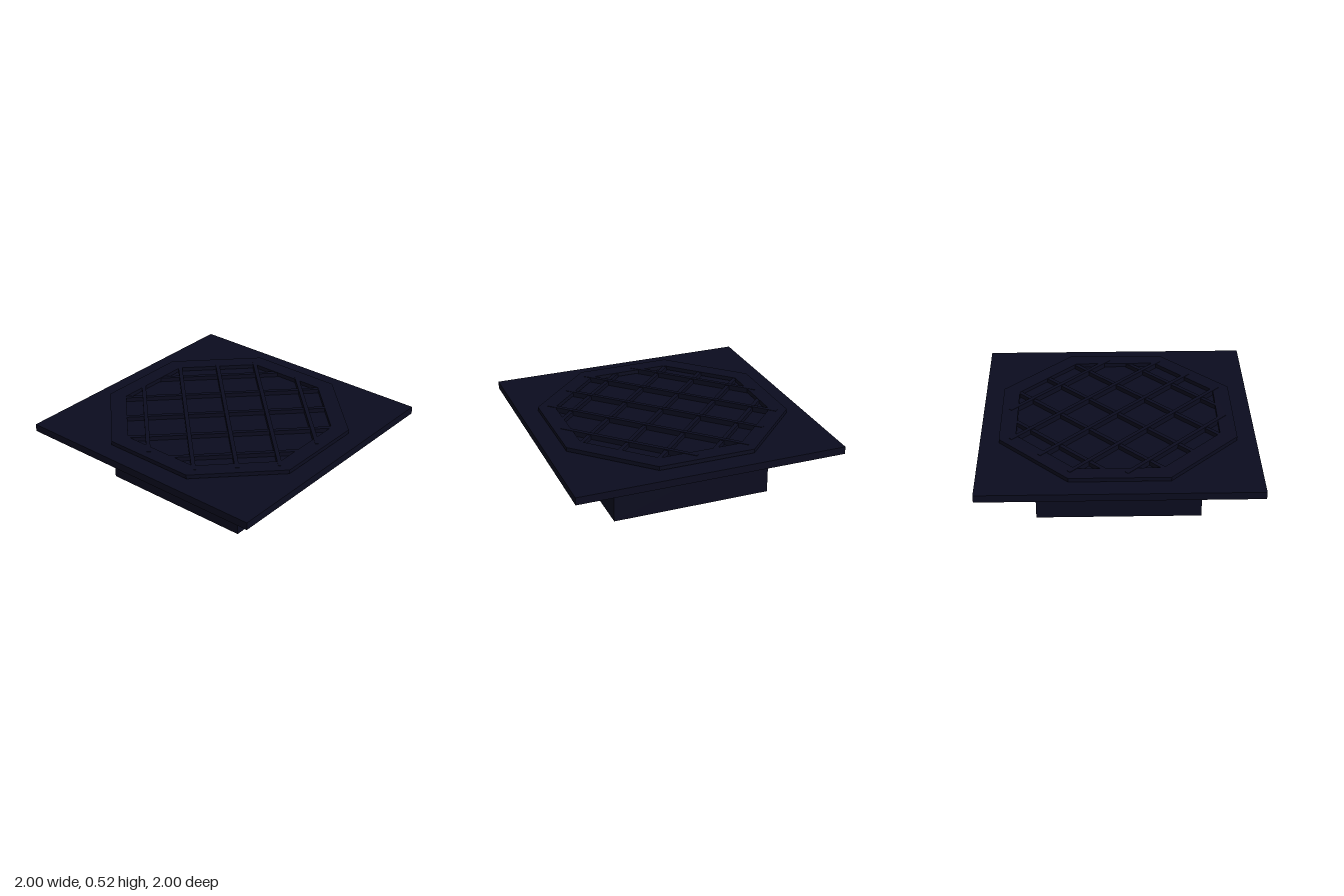
import * as THREE from 'three';

const navy = new THREE.MeshStandardMaterial({ color: 0x0b0c1f });
navy.name = 'midnight navy';

// Regular octagon with flat sides facing x and z, given its apothem
function octagon(apothem, PathType) {
  const path = new PathType();
  const r = apothem / Math.cos(Math.PI / 8);
  for (let i = 0; i < 8; i++) {
    const a = Math.PI / 8 + i * Math.PI / 4;
    if (i === 0) path.moveTo(r * Math.cos(a), r * Math.sin(a));
    else path.lineTo(r * Math.cos(a), r * Math.sin(a));
  }
  path.closePath();
  return path;
}

// Half length of a diagonal bar at a given offset, ending on the octagon
function halfLength(offset, apothem) {
  const side = apothem * Math.tan(Math.PI / 8);
  const d = Math.abs(offset);
  return d <= side ? apothem : apothem - (d - side);
}

function box(name, w, h, d, y) {
  const mesh = new THREE.Mesh(new THREE.BoxGeometry(w, h, d), navy);
  mesh.name = name;
  mesh.position.y = y;
  return mesh;
}

export function createModel() {
  const model = new THREE.Group();
  model.name = 'grated platform';

  // Square base and the wide slab hovering just above it
  model.add(box('baseBlock', 1.2, 0.405, 1.2, 0.2025));
  model.add(box('topSlab', 2, 0.056, 2, 0.458));

  // Flat octagonal frame
  const shape = octagon(0.86, THREE.Shape);
  shape.holes.push(octagon(0.74, THREE.Path));
  const ringGeometry = new THREE.ExtrudeGeometry(shape, { depth: 0.03, bevelEnabled: false });
  ringGeometry.rotateX(-Math.PI / 2);
  const ring = new THREE.Mesh(ringGeometry, navy);
  ring.name = 'octagonFrame';
  ring.position.y = 0.492;
  model.add(ring);

  // Diagonal lattice inside the frame; one layer sits slightly higher
  [[-Math.PI / 4, 0.525], [Math.PI / 4, 0.518]].forEach(([angle, top], layer) => {
    const bars = new THREE.Group();
    bars.name = layer === 0 ? 'upperLatticeBars' : 'lowerLatticeBars';
    bars.rotation.y = angle;
    for (let i = -2; i <= 2; i++) {
      const offset = i * 0.3;
      const bottom = 0.484;
      const bar = box('latticeBar', 2 * halfLength(offset, 0.8), top - bottom, 0.03, (top + bottom) / 2);
      bar.position.z = offset;
      bars.add(bar);
    }
    model.add(bars);
  });

  return model;
}
